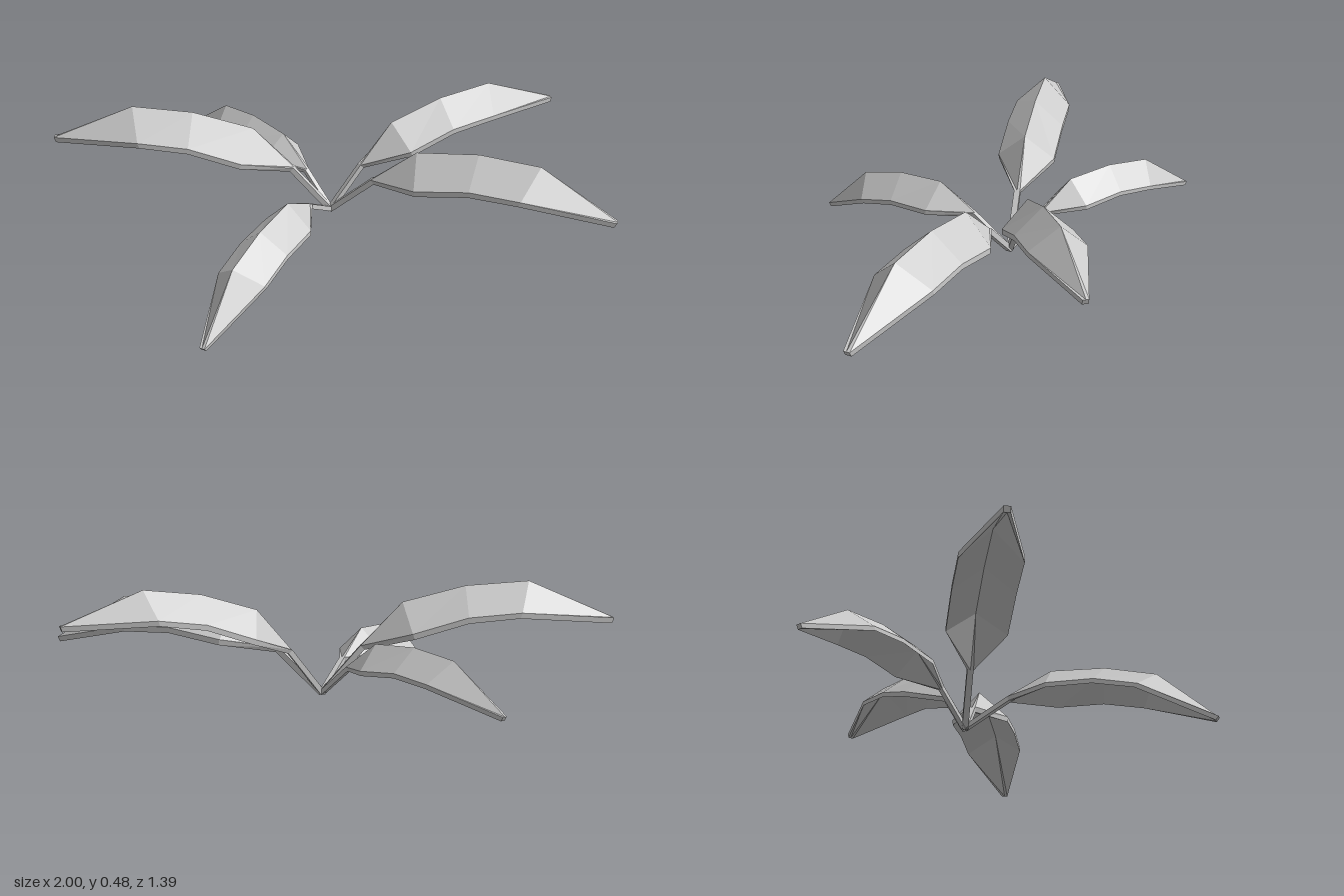
import * as THREE from 'three';

const THICK = 0.02;

// Leaf stations along the stalk: u (outward), v (up), ridge lift, half width, slope in degrees
const STATIONS = [
  [0, 0, 0, 0.011, 50],
  [0.14, 0.163, 0, 0.011, 45],
  [0.315, 0.22, 0.1, 0.105, 20],
  [0.5, 0.277, 0.095, 0.106, 4],
  [0.675, 0.295, 0.1, 0.105, -18],
  [0.998, 0.265, 0, 0.011, -20],
];

// Roof-shaped section: upper edge, ridge, upper edge, then the same three underneath
function section([u, v, lift, half, slope]) {
  const a = THREE.MathUtils.degToRad(slope);
  const at = (h, z) => [u - Math.sin(a) * h, v + Math.cos(a) * h, z];
  const t = THICK / 2;
  return [at(t, half), at(lift + t, 0), at(t, -half), at(-t, -half), at(lift - t, 0), at(-t, half)];
}

function leafGeometry() {
  const rings = STATIONS.map(section);
  const pos = [];
  const quad = (a, b, c, d) => pos.push(...a, ...b, ...c, ...a, ...c, ...d);
  for (let i = 0; i < rings.length - 1; i++) {
    const p = rings[i], q = rings[i + 1];
    for (let j = 0; j < 6; j++) {
      const k = (j + 1) % 6;
      quad(p[j], q[j], q[k], p[k]);
    }
  }
  // end caps
  const s = rings[0], e = rings[rings.length - 1];
  quad(s[0], s[1], s[4], s[5]);
  quad(s[1], s[2], s[3], s[4]);
  quad(e[5], e[4], e[1], e[0]);
  quad(e[4], e[3], e[2], e[1]);
  const g = new THREE.BufferGeometry();
  g.setAttribute('position', new THREE.Float32BufferAttribute(pos, 3));
  g.computeVertexNormals();
  return g;
}

// Leaf tips relative to the shared root
const TIPS = [
  ['leftLeaf', 0.99, 0.13, 0.29],
  ['backLeftLeaf', 0.82, 0.29, -0.38],
  ['rightLeaf', -0.998, 0.265, 0],
  ['backRightLeaf', -0.575, 0.06, -0.58],
  ['frontLeaf', -0.37, -0.075, 0.795],
];

export function createModel() {
  const group = new THREE.Group();
  group.name = 'leafCluster';
  const material = new THREE.MeshStandardMaterial({ color: 0xcccccc, flatShading: true, side: THREE.DoubleSide });
  const geometry = leafGeometry();
  const [tipU, tipV] = STATIONS[STATIONS.length - 1];

  // One leaf shape, turned, pitched and scaled to reach each tip
  for (const [name, x, y, z] of TIPS) {
    const leaf = new THREE.Mesh(geometry, material);
    leaf.name = name;
    leaf.position.set(0, 0.09, -0.108);
    leaf.scale.setScalar(Math.hypot(x, y, z) / Math.hypot(tipU, tipV));
    const pitch = Math.atan2(y, Math.hypot(x, z)) - Math.atan2(tipV, tipU);
    leaf.rotation.set(0, Math.atan2(-z, x), pitch, 'YZX');
    group.add(leaf);
  }
  return group;
}
